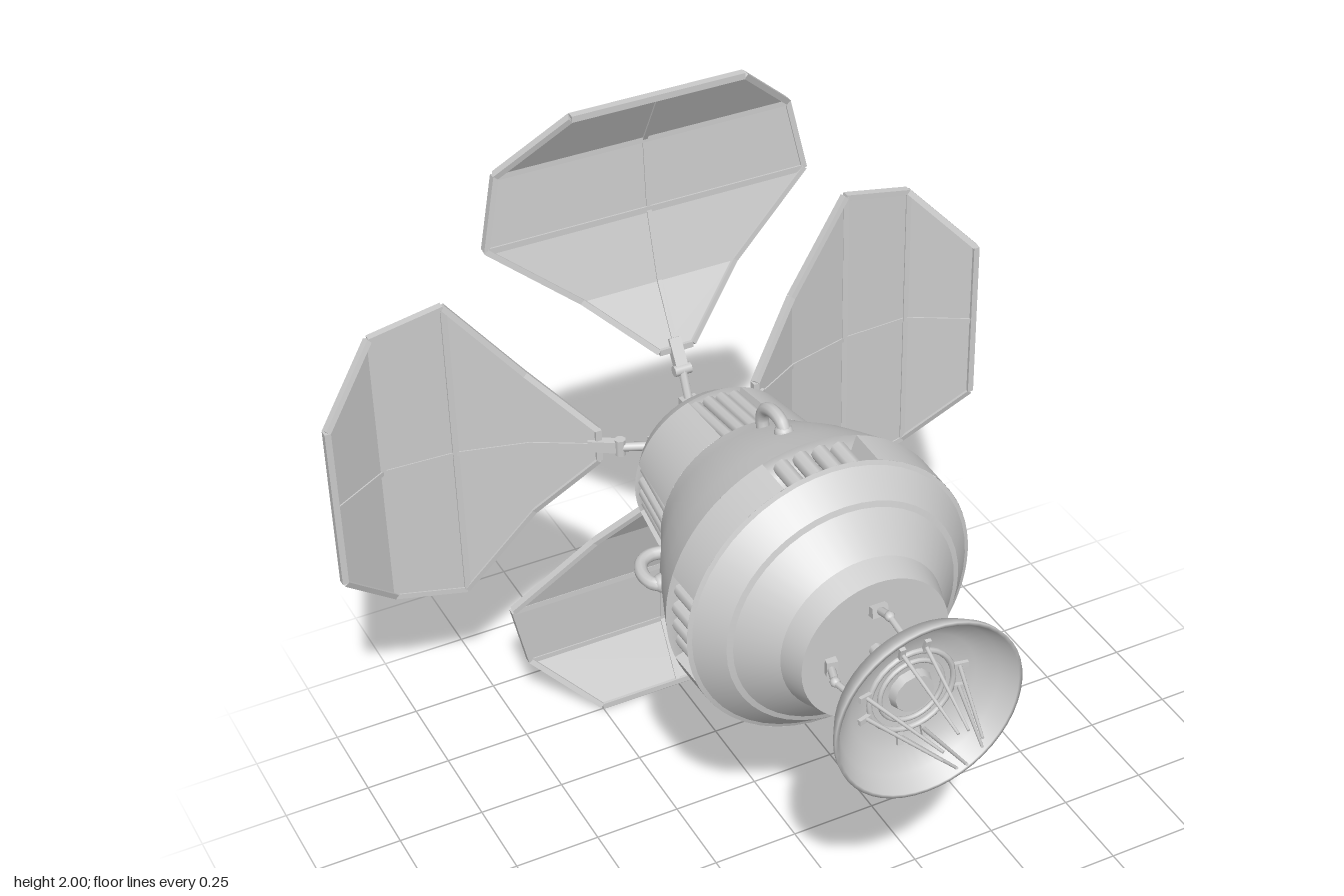
import * as THREE from 'three';
import { ConvexGeometry } from 'three/addons/geometries/ConvexGeometry.js';

const grey = new THREE.MeshStandardMaterial({ color: 0xcccccc, roughness: 0.7 });
const greyDouble = new THREE.MeshStandardMaterial({ color: 0xcccccc, roughness: 0.7, side: THREE.DoubleSide });
const V = (x, y, z) => new THREE.Vector3(x, y, z);

function add(parent, name, geometry, material = grey) {
  const mesh = new THREE.Mesh(geometry, material);
  mesh.name = name;
  parent.add(mesh);
  return mesh;
}

// Profile of [radius, axial] pairs, listed from rear to front
function lathe(profile, segments = 48, start = 0, length = Math.PI * 2) {
  return new THREE.LatheGeometry(profile.map(([r, y]) => new THREE.Vector2(r, y)), segments, start, length);
}

// Square bar between two points
function beam(parent, name, a, b, width, height = width) {
  const mesh = add(parent, name, new THREE.BoxGeometry(width, height, a.distanceTo(b)));
  mesh.position.copy(a).lerp(b, 0.5);
  mesh.lookAt(b);
  return mesh;
}

// Round rod between two points
function rod(parent, name, a, b, r0, r1 = r0) {
  const mesh = add(parent, name, new THREE.CylinderGeometry(r1, r0, a.distanceTo(b), 8));
  mesh.position.copy(a).lerp(b, 0.5);
  mesh.quaternion.setFromUnitVectors(V(0, 1, 0), b.clone().sub(a).normalize());
  return mesh;
}

// Four copies of a part around the axis; each is built pointing along +x
function around(parent, name, build) {
  for (let k = 0; k < 4; k++) {
    const arm = new THREE.Group();
    arm.name = name;
    build(arm);
    arm.rotation.y = k * Math.PI / 2;
    parent.add(arm);
  }
}

const WINDOW = 0.33; // half angle of the vent openings

// Hull band with four recessed vents holding parallel pipes
function ventBand(parent, rear, front, depth, pipeRadius, spacing) {
  const [r0, y0] = rear, [r1, y1] = front;
  const recess = [[r0, y0], [r0 - depth, y0], [r1 - depth, y1], [r1, y1]];
  around(parent, 'ventedHullQuarter', (arm) => {
    add(arm, 'hullBand', lathe([rear, front], 12, Math.PI / 2 + WINDOW, Math.PI / 2 - 2 * WINDOW), greyDouble);
    add(arm, 'ventRecess', lathe(recess, 8, Math.PI / 2 - WINDOW, 2 * WINDOW), greyDouble);
    for (const s of [-1, 1]) {
      const wall = new THREE.Shape(recess.map(([r, y]) => new THREE.Vector2(r, y)));
      add(arm, 'ventSideWall', new THREE.ShapeGeometry(wall), greyDouble).rotation.y = s * WINDOW;
    }
    for (let i = -1.5; i <= 1.5; i++) {
      const z = i * spacing, drop = depth * 0.55;
      const radial = (r) => Math.sqrt((r - drop) ** 2 - z * z);
      rod(arm, 'ventPipe', V(radial(r0), y0, z), V(radial(r1), y1, z), pipeRadius);
    }
  });
}

// Folded solar panel: sections of [radius, half width, axial]
const SECTIONS = [
  [0.245, 0.05, -0.70], [0.41, 0.23, -0.795], [0.61, 0.475, -0.848],
  [0.82, 0.43, -0.858], [0.992, 0.25, -0.758],
];

function buildPanel(arm) {
  const panel = new THREE.Group();
  panel.name = 'solarPanel';
  arm.add(panel);
  const t = 0.007;
  const at = ([r, w, y], side) => V(r, y, side * w);
  SECTIONS.forEach((s, i) => {
    if (i !== 1) beam(panel, 'crossRib', at(s, -1), at(s, 1), 0.018, 0.022);
    const next = SECTIONS[i + 1];
    if (!next) return;
    const corners = [];
    for (const q of [s, next])
      for (const side of [-1, 1])
        for (const h of [-t, t]) corners.push(at(q, side).add(V(0, h, 0)));
    add(panel, 'panelSheet', new ConvexGeometry(corners));
    for (const side of [-1, 1]) beam(panel, 'edgeRib', at(s, side), at(next, side), 0.016, 0.022);
    beam(panel, 'centreRib', at(s, 0), at(next, 0), 0.014, 0.02);
  });
}

export function createModel() {
  const model = new THREE.Group();
  model.name = 'satellite';
  // Local +y is the craft's axis and becomes +z
  const craft = new THREE.Group();
  craft.name = 'craft';
  craft.rotation.x = Math.PI / 2;
  craft.position.y = 1;
  model.add(craft);

  // Hull, rear to front, one piece per crease
  const hull = new THREE.Group();
  hull.name = 'hull';
  craft.add(hull);
  add(hull, 'rearDisc', lathe([[0, -0.575], [0.155, -0.575]]));
  add(hull, 'rearShoulder', lathe([[0.155, -0.575], [0.205, -0.52], [0.245, -0.46]]));
  ventBand(hull, [0.245, -0.46], [0.272, -0.245], 0.05, 0.018, 0.038);
  add(hull, 'middleCone', lathe([[0.272, -0.245], [0.3, -0.185], [0.345, -0.1], [0.385, 0], [0.415, 0.08]]));
  ventBand(hull, [0.415, 0.08], [0.412, 0.195], 0.07, 0.023, 0.054);
  const nose = [[0.412, 0.195], [0.4, 0.2], [0.338, 0.27], [0.322, 0.275], [0.235, 0.365], [0.212, 0.435], [0, 0.435]];
  for (let i = 0; i + 1 < nose.length; i++) add(hull, 'noseRing', lathe([nose[i], nose[i + 1]]));

  // Curved grab handles
  around(craft, 'handle', (arm) => {
    const path = new THREE.CatmullRomCurve3([
      V(0.34, -0.05, 0), V(0.378, -0.065, 0), V(0.388, -0.11, 0),
      V(0.37, -0.16, 0), V(0.335, -0.18, 0), V(0.29, -0.175, 0),
    ]);
    add(arm, 'handleGrip', new THREE.TubeGeometry(path, 20, 0.018, 10));
    add(arm, 'handleFoot', new THREE.SphereGeometry(0.026, 12, 8)).position.set(0.358, -0.06, 0);
  });

  // Rear hub
  const hub = [[0, -0.685], [0.045, -0.68], [0.078, -0.655], [0.1, -0.6], [0.112, -0.57]];
  const hubGeometry = lathe(hub, 12).toNonIndexed();
  hubGeometry.computeVertexNormals();
  add(craft, 'rearHub', hubGeometry);

  // Panel arms and folded panels
  around(craft, 'panelArm', (arm) => {
    beam(arm, 'armBracket', V(0.08, -0.61, 0), V(0.125, -0.615, 0), 0.05, 0.045);
    rod(arm, 'armStrut', V(0.1, -0.615, 0), V(0.2, -0.66, 0), 0.013);
    rod(arm, 'armJoint', V(0.195, -0.66, -0.025), V(0.195, -0.66, 0.025), 0.016);
    beam(arm, 'armClamp', V(0.19, -0.66, 0), V(0.27, -0.71, 0), 0.035, 0.025);
    buildPanel(arm);
  });

  // Dish antenna
  const dish = new THREE.Group();
  dish.name = 'dish';
  craft.add(dish);
  add(dish, 'dishBowl', lathe([
    [0, 0.59], [0.11, 0.594], [0.18, 0.61], [0.235, 0.645], [0.262, 0.69], [0.265, 0.708],
    [0.255, 0.708], [0.228, 0.66], [0.178, 0.628], [0.12, 0.612], [0, 0.608],
  ]), greyDouble);
  for (const [radius, tube] of [[0.12, 0.008], [0.09, 0.007]]) {
    const ring = add(dish, 'dishRing', new THREE.TorusGeometry(radius, tube, 8, 32));
    ring.rotation.x = Math.PI / 2;
    ring.position.y = 0.615;
  }
  add(dish, 'dishCentre', new THREE.CylinderGeometry(0.055, 0.065, 0.03, 12)).position.y = 0.618;
  add(dish, 'dishCollar', new THREE.CylinderGeometry(0.06, 0.04, 0.03, 16)).position.y = 0.58;
  rod(dish, 'dishShaft', V(0, 0.43, 0), V(0, 0.59, 0), 0.02);

  // Feed prongs in pairs and jointed dish supports
  around(dish, 'dishSupport', (arm) => {
    for (const s of [-1, 1]) {
      rod(arm, 'feedProng', V(0.135, 0.615, s * 0.034), V(0.055, 0.865, s * 0.014), 0.006, 0.004);
      beam(arm, 'prongFoot', V(0.12, 0.617, s * 0.034), V(0.155, 0.625, s * 0.036), 0.016, 0.016);
    }
    beam(arm, 'supportFoot', V(0.13, 0.43, 0), V(0.135, 0.455, 0), 0.045, 0.03);
    rod(arm, 'supportLower', V(0.133, 0.44, 0), V(0.152, 0.5, 0), 0.011);
    rod(arm, 'supportUpper', V(0.152, 0.5, 0), V(0.138, 0.585, 0), 0.009);
    add(arm, 'supportJoint', new THREE.SphereGeometry(0.014, 10, 8)).position.set(0.152, 0.5, 0);
    beam(arm, 'supportHead', V(0.14, 0.57, 0), V(0.138, 0.603, 0), 0.045, 0.03);
  });

  return model;
}
